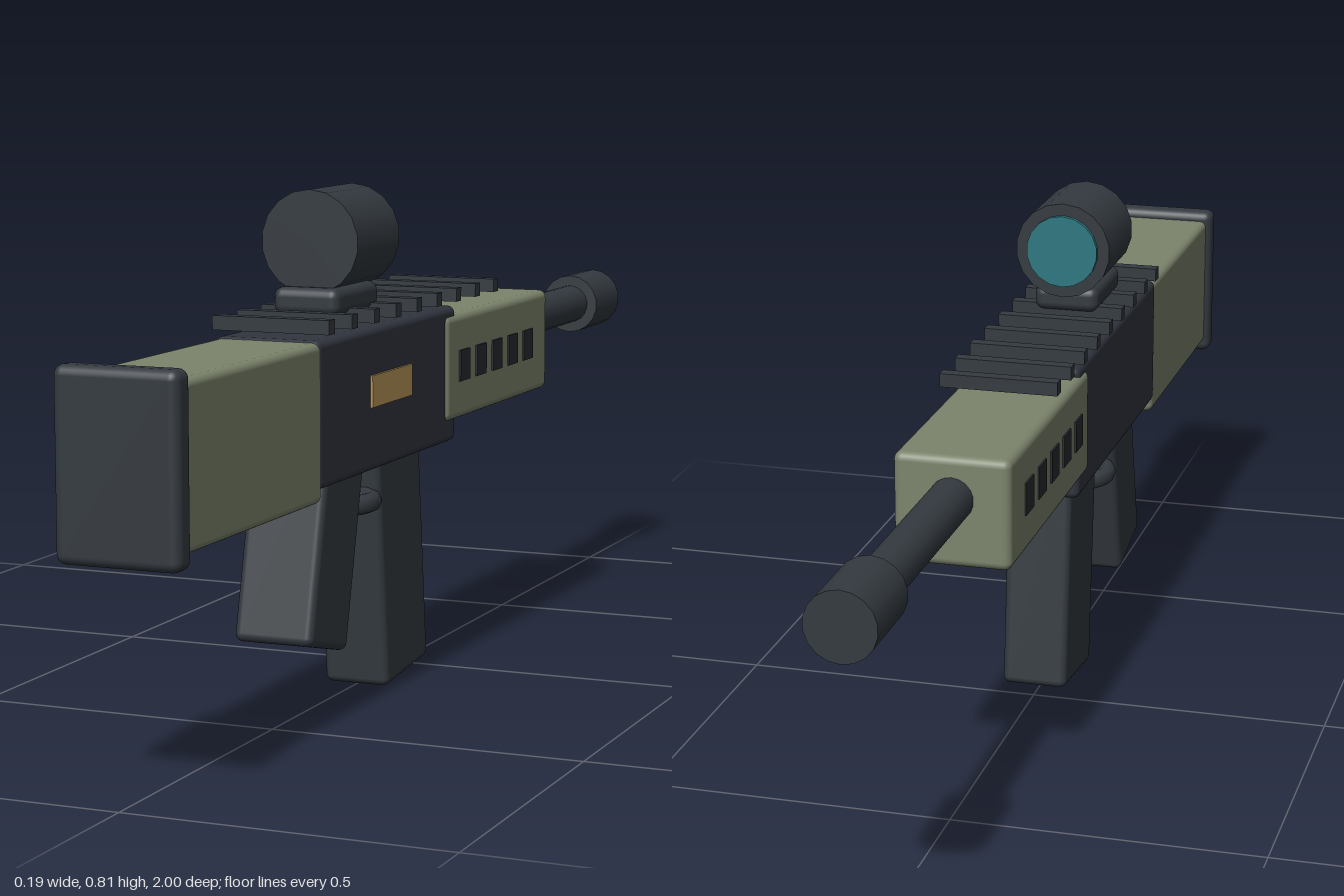
import * as THREE from 'three';
import { RoundedBoxGeometry } from 'three/addons/geometries/RoundedBoxGeometry.js';

const material = (name, color) => {
  const m = new THREE.MeshStandardMaterial({ color });
  m.name = name;
  return m;
};

export function createModel() {
  const group = new THREE.Group();
  const polymer = material('dark polymer', 0x343a40);
  const metal = material('receiver metal', 0x31353f);
  const black = material('vent black', 0x262a2f);
  const olive = material('olive green', 0x7c846c);
  const brass = material('brass', 0xb8965a);
  const glass = material('teal glass', 0x2c7780);

  const add = (name, geometry, mat, x, y, z, tilt = 0) => {
    const mesh = new THREE.Mesh(geometry, mat);
    mesh.name = name;
    mesh.position.set(x, y, z);
    mesh.rotation.x = tilt;
    group.add(mesh);
    return mesh;
  };
  // Rounded block given by its width and its y and z ranges
  const block = (name, mat, w, y0, y1, z0, z1, r) =>
    add(name, new RoundedBoxGeometry(w, y1 - y0, z1 - z0, 3, r), mat, 0, (y0 + y1) / 2, (z0 + z1) / 2);
  // Round part lying along z
  const rod = (name, mat, r, y, z0, z1, sides = 18) =>
    add(name, new THREE.CylinderGeometry(r, r, z1 - z0, sides), mat, 0, y, (z0 + z1) / 2, Math.PI / 2);

  // Body
  block('buttPad', polymer, 0.192, 0.342, 0.619, 0.955, 1, 0.015);
  block('stock', olive, 0.172, 0.36, 0.602, 0.5, 0.97, 0.012);
  block('receiver', metal, 0.174, 0.38, 0.605, -0.043, 0.517, 0.012);
  block('handguard', olive, 0.184, 0.415, 0.591, -0.477, 0.01, 0.013);

  // Barrel
  rod('barrel', polymer, 0.035, 0.524, -0.9, -0.45);
  rod('muzzle', polymer, 0.054, 0.524, -1, -0.865);

  // Tilted grip and magazine with the guard between them
  add('grip', new RoundedBoxGeometry(0.13, 0.36, 0.147, 3, 0.012), polymer, 0, 0.296, 0.388, -0.24);
  add('magazine', new RoundedBoxGeometry(0.11, 0.42, 0.18, 3, 0.012), polymer, 0, 0.222, 0.109, 0.1);
  add('triggerGuard', new THREE.TorusGeometry(0.06, 0.016, 8, 24), polymer, 0, 0.321, 0.262, Math.PI / 2);

  // Top rail slats
  for (let i = 0; i < 9; i++)
    add('railSlat', new THREE.BoxGeometry(0.192, 0.022, 0.022), polymer, 0, 0.624, 0.488 - i * 0.0865);

  // Side vents on both sides
  for (const side of [-1, 1])
    for (let i = 0; i < 5; i++)
      add('vent', new THREE.BoxGeometry(0.008, 0.052, 0.045), black, side * 0.091, 0.504, -0.066 - i * 0.0765);

  // Ejection plate on the left side only
  add('ejectionPlate', new THREE.BoxGeometry(0.009, 0.05, 0.162), brass, 0.0865, 0.506, 0.24);

  // Sight
  block('sightMount', polymer, 0.11, 0.625, 0.668, 0.207, 0.375, 0.015);
  rod('sightTube', polymer, 0.081, 0.737, 0.188, 0.354);
  rod('sightLens', glass, 0.061, 0.737, 0.18, 0.189);

  return group;
}
